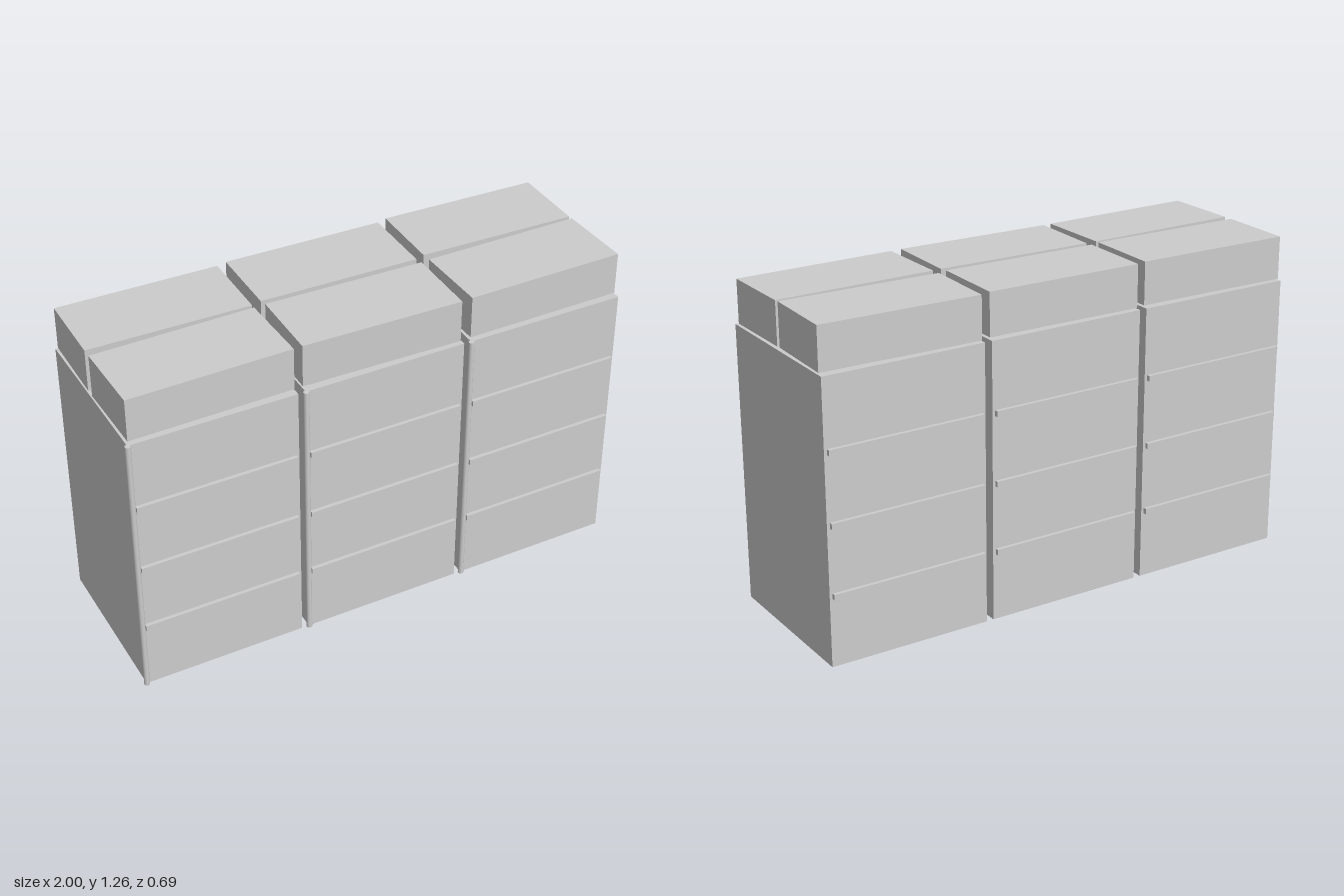
import * as THREE from 'three';

export function createModel() {
  const model = new THREE.Group();
  const grey = new THREE.MeshStandardMaterial({ color: 0xcccccc });
  grey.name = 'light grey';

  function add(parent, name, geometry, x, y, z, turn = 0) {
    const mesh = new THREE.Mesh(geometry, grey);
    mesh.name = name;
    mesh.position.set(x, y, z);
    mesh.rotation.y = turn;
    parent.add(mesh);
  }

  const body = new THREE.BoxGeometry(0.643, 1.09, 0.662);
  const post = new THREE.CylinderGeometry(0.011, 0.011, 1.09, 12);
  const rail = new THREE.BoxGeometry(0.62, 0.022, 0.015);
  const slab = new THREE.BoxGeometry(0.58, 0.012, 0.595);
  const crate = new THREE.BoxGeometry(0.633, 0.168, 0.302);

  // Slight turn of the back and front crate on each unit
  const turns = [[-0.016, 0.016], [-0.016, -0.021], [-0.024, 0.011]];

  turns.forEach(([backTurn, frontTurn], i) => {
    const unit = new THREE.Group();
    unit.name = 'cabinetUnit' + (i + 1);
    unit.position.x = -0.668 + i * 0.672;
    model.add(unit);

    add(unit, 'cabinetBody', body, 0, 0.545, 0);
    add(unit, 'cornerPost', post, -0.321, 0.545, 0.334);

    // Shelf rails on front and back
    for (const y of [0.275, 0.545, 0.817]) {
      add(unit, 'frontRail', rail, 0, y, 0.338);
      add(unit, 'backRail', rail, 0, y, -0.338);
    }

    // Two crates resting on a thin slab
    add(unit, 'crateSlab', slab, 0, 1.095, 0.002);
    add(unit, 'backCrate', crate, 0, 1.181, -0.167, backTurn);
    add(unit, 'frontCrate', crate, 0, 1.181, 0.161, frontTurn);
  });

  return model;
}
